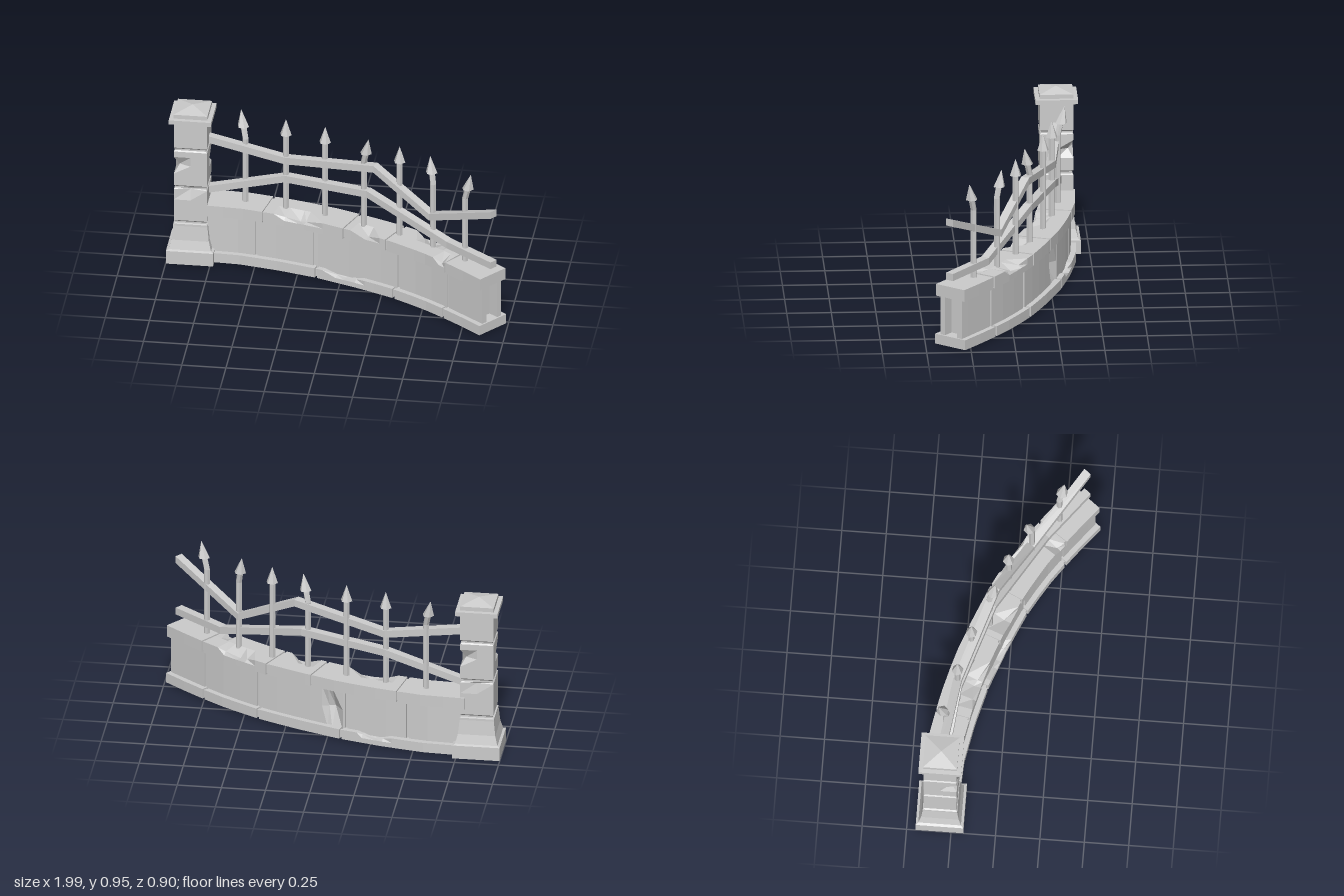
import * as THREE from 'three';

const material = new THREE.MeshStandardMaterial({ color: 0xcccccc, flatShading: true, side: THREE.DoubleSide });

// Skin a list of rings (counter-clockwise about the direction of travel) and cap both ends.
function loft(name, rings) {
  const pos = [];
  const tri = (...pts) => pts.forEach((p) => pos.push(p.x, p.y, p.z));
  const n = rings[0].length;
  const middle = (r) => r.reduce((s, p) => s.add(p), new THREE.Vector3()).divideScalar(n);
  const first = rings[0], last = rings[rings.length - 1];
  const c0 = middle(first), c1 = middle(last);
  for (let j = 0; j < n; j++) {
    const k = (j + 1) % n;
    for (let i = 0; i < rings.length - 1; i++) {
      const a = rings[i], b = rings[i + 1];
      tri(a[j], a[k], b[k]);
      tri(a[j], b[k], b[j]);
    }
    tri(c0, first[k], first[j]);
    tri(c1, last[j], last[k]);
  }
  const g = new THREE.BufferGeometry();
  g.setAttribute('position', new THREE.Float32BufferAttribute(pos, 3));
  g.computeVertexNormals();
  const mesh = new THREE.Mesh(g, material);
  mesh.name = name;
  return mesh;
}

// Plan of the curved wall: centre line (x, z)
const PLAN = [[-0.8, -0.322], [-0.565, -0.31], [-0.33, -0.265], [-0.1, -0.205], [0.13, -0.12],
  [0.345, -0.03], [0.55, 0.085], [0.75, 0.225], [0.925, 0.365]];
function planZ(x) {
  let i = 0;
  while (i < PLAN.length - 2 && x > PLAN[i + 1][0]) i++;
  const [x0, z0] = PLAN[i], [x1, z1] = PLAN[i + 1];
  return z0 + (z1 - z0) * (x - x0) / (x1 - x0);
}
// Point at x on the plan, moved u towards the back of the wall
function planPoint(x, u, y) {
  const t = new THREE.Vector2(0.2, planZ(x + 0.1) - planZ(x - 0.1)).normalize();
  return new THREE.Vector3(x + t.y * u, y, planZ(x) - t.x * u);
}

// Eight ring points: 0 back bottom, 2 back top, 4 front top, 6 front bottom, odd ones between
const SQUARE = [[1, -1], [1, 0], [1, 1], [0, 1], [-1, 1], [-1, 0], [-1, -1], [0, -1]];

// A curved stone between two x positions; chips push ring point k by (du, dv)
function stone(name, x0, x1, half, y0, y1, chips = [], shift = 0) {
  const xs = [];
  const steps = Math.max(1, Math.round((x1 - x0) / 0.11));
  for (let i = 0; i <= steps; i++) xs.push(x0 + (x1 - x0) * i / steps);
  chips.forEach((c) => [c.x - c.w, c.x, c.x + c.w].forEach((x) => {
    if (x > x0 + 0.005 && x < x1 - 0.005) xs.push(x);
  }));
  xs.sort((a, b) => a - b);
  return loft(name, xs.map((x) => SQUARE.map(([su, sv], k) => {
    let u = shift + su * half, y = (y0 + y1) / 2 + sv * (y1 - y0) / 2;
    for (const c of chips) {
      if (c.k !== k || c.x < x0 || c.x > x1) continue;
      const f = Math.max(0, 1 - Math.abs(x - c.x) / c.w);
      u += c.du * f;
      y += c.dv * f;
    }
    return planPoint(x, u, y);
  })));
}

// A row of stones with narrow recessed mortar joints
function course(name, cuts, half, y0, y1, chips) {
  const group = new THREE.Group();
  group.name = name;
  const gap = 0.007;
  for (let i = 0; i < cuts.length - 1; i++) {
    const a = cuts[i] + (i ? gap : 0);
    const b = cuts[i + 1] - (i < cuts.length - 2 ? gap : 0);
    group.add(stone(name + 'Stone', a, b, half, y0, y1, chips));
    if (i) group.add(stone(name + 'Joint', cuts[i] - 0.015, cuts[i] + 0.015, half - 0.01, y0 + 0.006, y1 - 0.008));
  }
  return group;
}

// Square pillar ring: odd points are corners; dents scale single points inward
function pillarRing([half, y, dents = {}]) {
  return Array.from({ length: 8 }, (_, k) => {
    const a = k * Math.PI / 4;
    const r = half * (k % 2 ? Math.SQRT2 : 1) * (dents[k] ?? 1);
    return new THREE.Vector3(-0.865 + Math.sin(a) * r, y, -0.315 + Math.cos(a) * r);
  });
}

function rail(name, path) {
  return loft(name, path.map(([x, y]) => [[1, -1], [1, 1], [-1, 1], [-1, -1]]
    .map(([u, v]) => planPoint(x, u * 0.024, y + v * 0.021))));
}

// Spear-topped bar whose upper end leans by (dx, dz)
function bar(x, dx, dz) {
  const z = planZ(x);
  const rows = [[0, 0.34, 0.018], [0, dx || dz ? 0.76 : 0.8, 0.018], [0.5, 0.832, 0.018], [0.5, 0.826, 0.034], [1, 0.92, 0.001]];
  return loft('spearBar', rows.map(([f, y, r]) => Array.from({ length: 6 }, (_, k) => {
    const a = k * Math.PI / 3 + 0.3;
    return new THREE.Vector3(x + dx * f + Math.sin(a) * r, y, z + dz * f + Math.cos(a) * r);
  })));
}

export function createModel() {
  const model = new THREE.Group();
  model.name = 'curvedFence';

  // Pillar: plinth, flared foot, three blocks with grooves, cap
  model.add(loft('pillar', [
    [0.134, 0], [0.134, 0.08], [0.12, 0.086], [0.106, 0.14], [0.097, 0.225],
    [0.097, 0.238], [0.087, 0.242], [0.087, 0.252], [0.094, 0.26],
    [0.094, 0.39], [0.094, 0.455, { 0: 0.8, 4: 0.88 }], [0.087, 0.462, { 0: 0.85 }], [0.087, 0.474],
    [0.094, 0.482], [0.094, 0.555], [0.094, 0.605, { 7: 0.68, 3: 0.68 }], [0.094, 0.66],
    [0.094, 0.695], [0.087, 0.702], [0.087, 0.712], [0.094, 0.72], [0.094, 0.88],
  ].map(pillarRing)));
  model.add(loft('pillarCap', [
    [0.12, 0.88], [0.12, 0.905], [0.096, 0.906], [0.096, 0.93], [0.001, 0.952],
  ].map(pillarRing)));

  // Low wall: base course, body and coping, each with a few chipped edges
  model.add(course('base', [-0.8, -0.11, 0.37, 0.69, 0.925], 0.104, 0.01, 0.068, [
    { x: 0.06, k: 4, w: 0.13, du: 0.035, dv: -0.03 },
    { x: -0.3, k: 2, w: 0.1, du: -0.03, dv: -0.03 },
  ]));
  model.add(course('body', [-0.8, -0.48, -0.13, 0.385, 0.7, 0.87], 0.074, 0.05, 0.3, [
    { x: -0.05, k: 1, w: 0.06, du: -0.045, dv: 0 },
  ]));
  for (const side of [-1, 1]) {
    model.add(stone('bodyEndPanel', 0.87, 0.918, 0.016, 0.05, 0.3, [], side * 0.058));
  }
  model.add(course('coping', [-0.8, -0.43, 0.06, 0.32, 0.7, 0.925], 0.098, 0.294, 0.363, [
    { x: -0.22, k: 4, w: 0.15, du: 0.04, dv: -0.04 },
    { x: 0.19, k: 4, w: 0.09, du: 0.04, dv: -0.035 },
    { x: 0.5, k: 2, w: 0.11, du: -0.04, dv: -0.04 },
    { x: 0.66, k: 4, w: 0.04, du: 0.025, dv: -0.03 },
  ]));

  // Bent iron rails
  model.add(rail('upperRail', [[-0.8, 0.75], [-0.33, 0.668], [0.2, 0.744], [0.54, 0.553], [0.93, 0.745]]));
  model.add(rail('lowerRail', [[-0.8, 0.42], [-0.33, 0.553], [0.16, 0.573], [0.65, 0.425], [0.93, 0.425]]));

  // Spear bars, some knocked askew
  [[-0.565, -0.03, -0.04], [-0.33, 0, 0], [-0.1, 0, 0], [0.13, 0.03, 0.03],
    [0.345, 0, 0], [0.55, -0.02, -0.027], [0.75, 0.035, 0.025]].forEach((b) => model.add(bar(...b)));

  return model;
}
